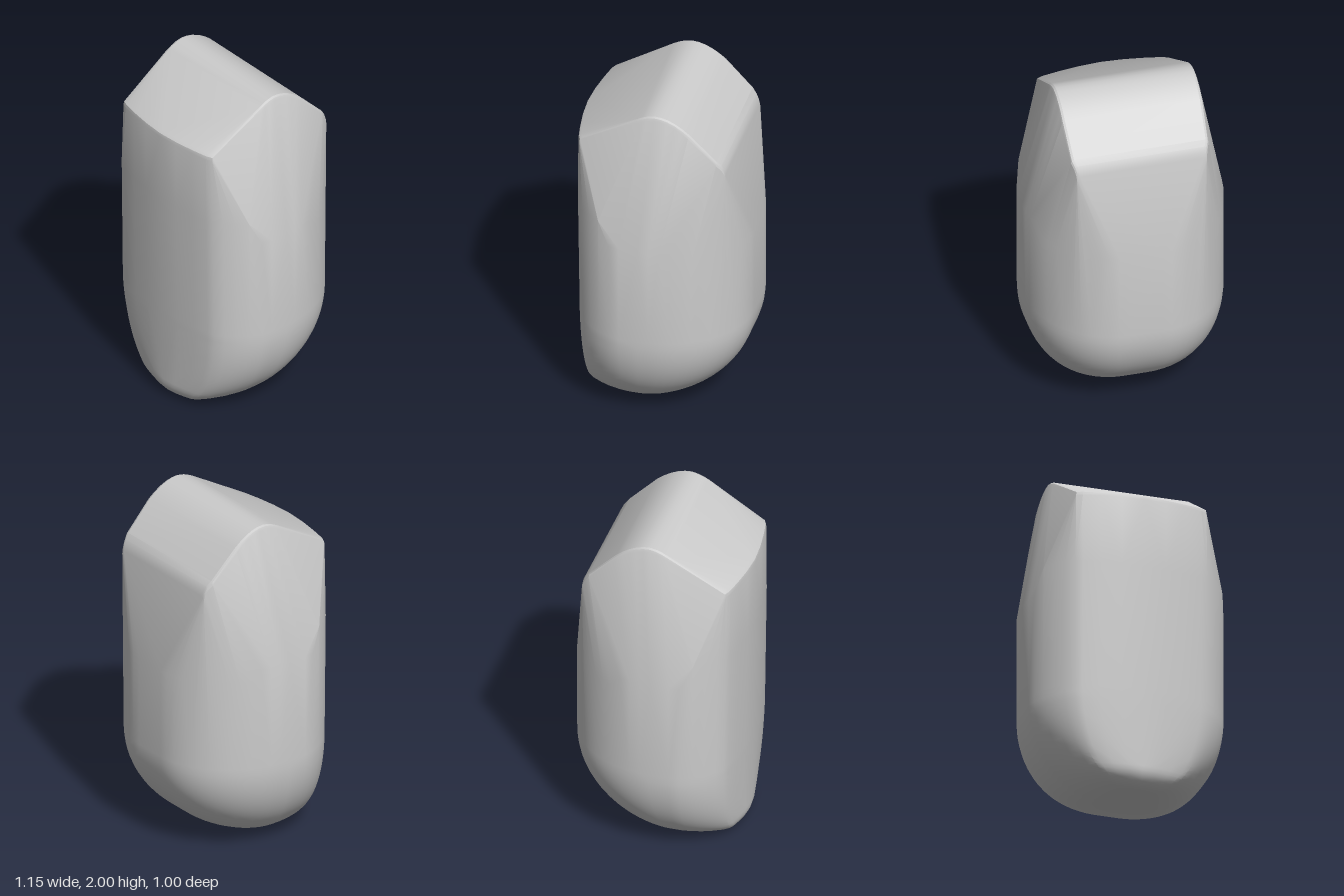
import * as THREE from 'three';
import { ConvexGeometry } from 'three/addons/geometries/ConvexGeometry.js';
import { toCreasedNormals } from 'three/addons/utils/BufferGeometryUtils.js';

// Half of the plan outline at full width, from front centre to back centre: [x, z]
const frontOutline = [[0, 0.497], [0.13, 0.49], [0.25, 0.473], [0.35, 0.455], [0.39, 0.44], [0.44, 0.405],
  [0.49, 0.35], [0.53, 0.29], [0.56, 0.22], [0.573, 0.16]];
const backOutline = [];
for (let i = 0; i <= 14; i++) {
  const a = (i / 14) * Math.PI / 2;
  backOutline.push([0.1 + 0.474 * Math.cos(a), 0.05 - 0.55 * Math.sin(a)]);
}
const outline = [...frontOutline, ...backOutline];

// Roof profile over the ridge, front to back: [z, y]
const roof = [[0.1, 1.965], [0.07, 1.98], [0.04, 1.992], [0, 2], [-0.04, 1.997], [-0.08, 1.986], [-0.12, 1.968],
  [-0.16, 1.943], [-0.2, 1.912], [-0.36, 1.75], [-0.385, 1.72], [-0.4, 1.69], [-0.407, 1.66]];

function createPoints() {
  const points = [];
  const add = (x, y, z) => {
    points.push(new THREE.Vector3(x, y, z));
    if (x > 0) points.push(new THREE.Vector3(-x, y, z));
  };

  // Rounded lower body: the outline shrinks along ellipses towards the small flat base
  const levels = 20;
  for (let i = 0; i <= levels; i++) {
    const a = (i / levels) * Math.PI / 2;
    const y = 0.58 * (1 - Math.cos(a));
    const width = (0.12 + 0.455 * Math.sin(a)) / 0.575;
    const back = 0.16 - 0.66 * Math.sin(a);
    const lip = y < 0.1 ? 0.09 * (1 - Math.sqrt(1 - (1 - y / 0.1) ** 2)) : 0;
    const front = 0.468 + 0.03 * Math.min(1, y) - lip;
    for (const [x, z] of outline) {
      const t = z > 0.16 ? (z - 0.16) / 0.337 * (front - 0.16) : (z - 0.16) / 0.66 * (0.16 - back);
      add(x * width, y, 0.16 + t);
    }
  }

  // Shoulder line where the straight walls start to taper
  for (const [x, z] of outline) add(x, z > 0.25 ? 1.33 : z > -0.15 ? 1.19 : 1.12, z);

  // Bowed front edge under the sloping roof
  for (const [x, z] of [[0, 0.497], [0.13, 0.489], [0.25, 0.472], [0.35, 0.453], [0.385, 0.438]]) {
    add(x, 1.745, z);
    add(x * 0.995, 1.763, z - 0.004);
    add(x * 0.98, 1.775, z - 0.018);
  }

  // Ridge with slightly rounded ends
  for (const [z, y] of roof) {
    const inset = Math.max(0, -0.34 - z) * 0.5;
    add(0.392 - inset, y, z);
    add(0.404 - inset, y - 0.006, z);
    add(0.41 - inset, y - 0.02, z);
  }
  return points;
}

export function createModel() {
  const group = new THREE.Group();
  const body = new THREE.Mesh(
    toCreasedNormals(new ConvexGeometry(createPoints()), 0.3),
    new THREE.MeshStandardMaterial({ color: 0xcccccc })
  );
  body.name = 'body';
  group.add(body);
  return group;
}
